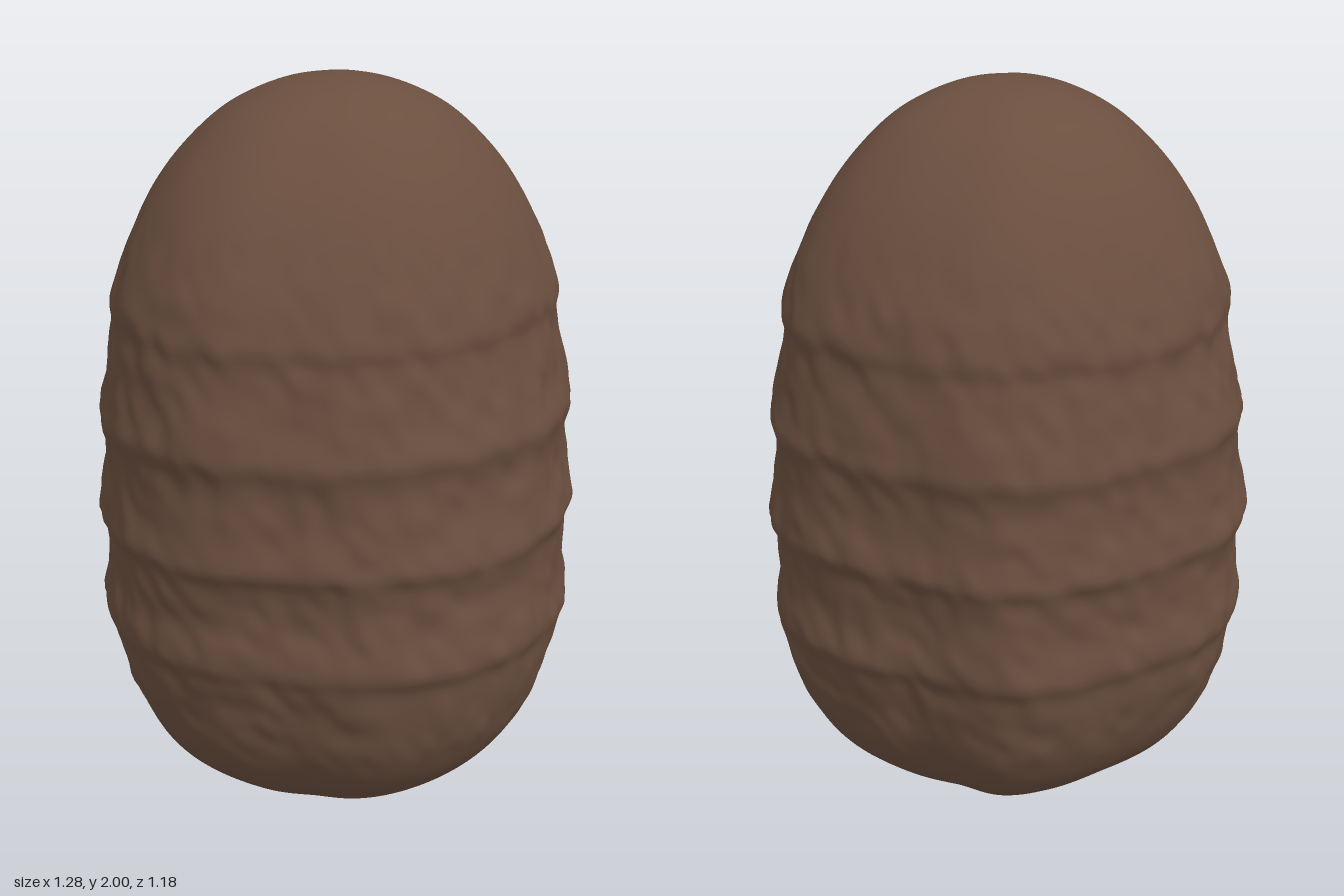
import * as THREE from 'three';

const SEGMENTS = 192, RINGS = 160;

// Side profile as [radius, height], with four softly raised bands
const PROFILE = [
  [0, 0.005], [0.09, 0.018], [0.175, 0.032], [0.27, 0.064], [0.355, 0.11], [0.467, 0.2], [0.537, 0.3],
  [0.577, 0.4], [0.604, 0.5], [0.613, 0.545], [0.628, 0.585], [0.626, 0.63], [0.614, 0.7],
  [0.615, 0.78], [0.621, 0.825], [0.636, 0.865], [0.631, 0.9], [0.617, 0.97], [0.61, 1.06],
  [0.613, 1.1], [0.624, 1.145], [0.615, 1.19], [0.6, 1.26], [0.582, 1.35], [0.576, 1.395],
  [0.58, 1.43], [0.562, 1.5], [0.524, 1.6], [0.474, 1.7], [0.403, 1.8], [0.3, 1.9],
  [0.215, 1.95], [0.13, 1.982], [0.06, 1.995], [0, 2],
];

// Irregular plan outlines: radius at equal angles from +x towards +z
const LOWER_OUTLINE = [0.64, 0.627, 0.615, 0.605, 0.588, 0.56, 0.605, 0.64,
  0.638, 0.662, 0.65, 0.59, 0.586, 0.592, 0.545, 0.59];
const UPPER_OUTLINE = [0.638, 0.608, 0.583, 0.575, 0.578, 0.595, 0.655, 0.665,
  0.645, 0.645, 0.635, 0.6, 0.6, 0.61, 0.597, 0.616];

// Closed smooth interpolation of an outline, scaled to about 1
function sampleOutline(outline, angle) {
  const n = outline.length;
  const t = angle / (2 * Math.PI) * n;
  const i = Math.floor(t), f = t - i;
  const [a, b, c, d] = [-1, 0, 1, 2].map((k) => outline[(i + k + n) % n]);
  const r = b + 0.5 * f * (c - a + f * (2 * a - 5 * b + 4 * c - d + f * (3 * (b - c) + d - a)));
  return r / 0.638;
}

// The plan changes gradually from the lower to the upper outline
function outlineAt(angle, y) {
  const blend = THREE.MathUtils.clamp((y - 0.45) / 0.95, 0, 1);
  return THREE.MathUtils.lerp(
    sampleOutline(LOWER_OUTLINE, angle), sampleOutline(UPPER_OUTLINE, angle), blend);
}

// Seeded lattice noise, wrapping around the body
function hash(i, j, seed) {
  const s = Math.sin(i * 127.1 + j * 311.7 + seed * 74.7) * 43758.5453;
  return (s - Math.floor(s)) * 2 - 1;
}
function noise(u, v, wrap, seed) {
  const i = Math.floor(u), j = Math.floor(v);
  const ease = (t) => t * t * (3 - 2 * t);
  const fu = ease(u - i), fv = ease(v - j);
  const at = (a, b) => hash(((a % wrap) + wrap) % wrap, b, seed);
  return THREE.MathUtils.lerp(
    THREE.MathUtils.lerp(at(i, j), at(i + 1, j), fu),
    THREE.MathUtils.lerp(at(i, j + 1), at(i + 1, j + 1), fu), fv);
}

// Rough wrinkles around the middle, fading to smooth ends
function wrinkle(angle, y) {
  const { smoothstep } = THREE.MathUtils;
  const fade = smoothstep(y, 0.2, 0.42) * (1 - smoothstep(y, 1.4, 1.8));
  const u = angle / (2 * Math.PI);
  return fade * (0.005 * noise(u * 40 + y * 3, y * 9, 40, 1)
    + 0.006 * noise(u * 80 - y * 4, y * 17, 80, 2));
}

function bodyGeometry() {
  const curve = new THREE.CatmullRomCurve3(PROFILE.map(([r, y]) => new THREE.Vector3(r, y, 0)));
  curve.arcLengthDivisions = 1000;
  const points = curve.getSpacedPoints(RINGS);
  const positions = [], indices = [];

  // Rings between the two poles
  for (let j = 1; j < RINGS; j++) {
    for (let i = 0; i < SEGMENTS; i++) {
      const angle = i / SEGMENTS * 2 * Math.PI;
      const { x: radius, y } = points[j];
      const r = radius * outlineAt(angle, y) + wrinkle(angle, y);
      positions.push(r * Math.cos(angle), y, r * Math.sin(angle));
    }
  }
  const bottom = positions.length / 3, top = bottom + 1;
  positions.push(0, points[0].y, 0, 0, points[RINGS].y, 0);

  for (let i = 0; i < SEGMENTS; i++) {
    const next = (i + 1) % SEGMENTS, last = (RINGS - 2) * SEGMENTS;
    indices.push(bottom, i, next, top, last + next, last + i);
    for (let j = 0; j < RINGS - 2; j++) {
      const a = j * SEGMENTS + i, b = j * SEGMENTS + next;
      indices.push(a, a + SEGMENTS, b + SEGMENTS, a, b + SEGMENTS, b);
    }
  }
  const geometry = new THREE.BufferGeometry();
  geometry.setAttribute('position', new THREE.Float32BufferAttribute(positions, 3));
  geometry.setIndex(indices);
  geometry.computeVertexNormals();
  return geometry;
}

export function createModel() {
  const brown = new THREE.MeshStandardMaterial({ color: 0x6b4f3f });
  brown.name = 'earth brown';
  const body = new THREE.Mesh(bodyGeometry(), brown);
  body.name = 'bandedBody';
  const model = new THREE.Group();
  model.name = 'bandedCocoon';
  model.add(body);
  return model;
}
